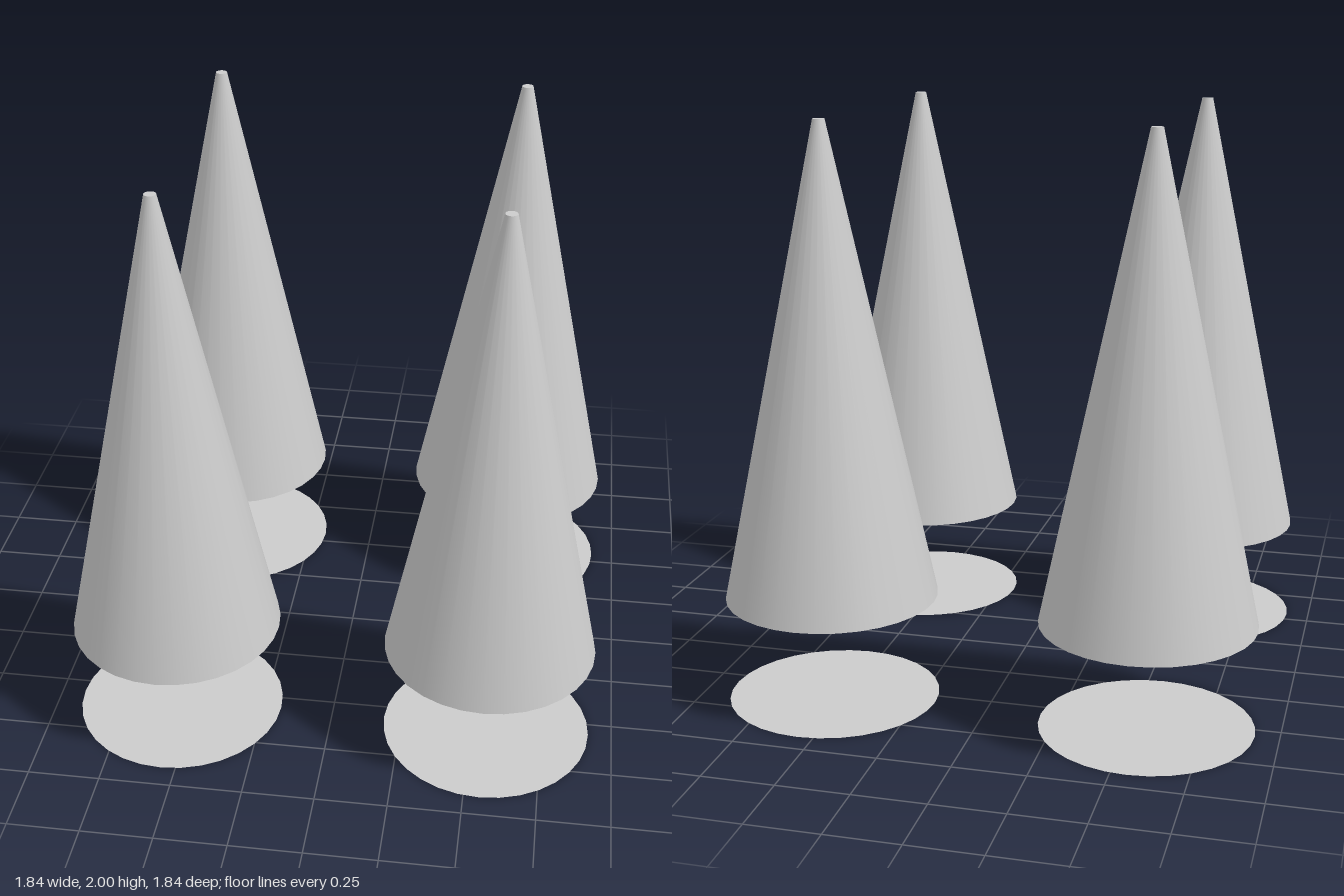
import * as THREE from 'three';

const RADIUS = 0.365;
const TIP_RADIUS = 0.02;
const SPACING = 0.553;
const BASE_Y = 0.37;
const TOP_Y = 2;
const SIDES = 32;

export function createModel() {
  const model = new THREE.Group();
  model.name = 'spikeSet';

  const solid = new THREE.MeshStandardMaterial({ color: 0xcccccc });
  const thin = new THREE.MeshStandardMaterial({ color: 0xcccccc, side: THREE.DoubleSide });

  // Capped cone with a small blunt tip, raised above the ground
  const coneGeometry = new THREE.CylinderGeometry(TIP_RADIUS, RADIUS, TOP_Y - BASE_Y, SIDES);
  coneGeometry.translate(0, (TOP_Y + BASE_Y) / 2, 0);

  // Flat disc lying on the ground under each cone
  const discGeometry = new THREE.CircleGeometry(RADIUS, SIDES);
  discGeometry.rotateX(-Math.PI / 2);

  // Four matching spikes, one at each corner of a square
  for (const [zSide, zName] of [[1, 'front'], [-1, 'back']]) {
    for (const [xSide, xName] of [[1, 'Left'], [-1, 'Right']]) {
      const spike = new THREE.Group();
      spike.name = `${zName}${xName}Spike`;
      spike.position.set(xSide * SPACING, 0, zSide * SPACING);

      const cone = new THREE.Mesh(coneGeometry, solid);
      cone.name = 'cone';
      const disc = new THREE.Mesh(discGeometry, thin);
      disc.name = 'groundDisc';

      spike.add(cone, disc);
      model.add(spike);
    }
  }
  return model;
}
